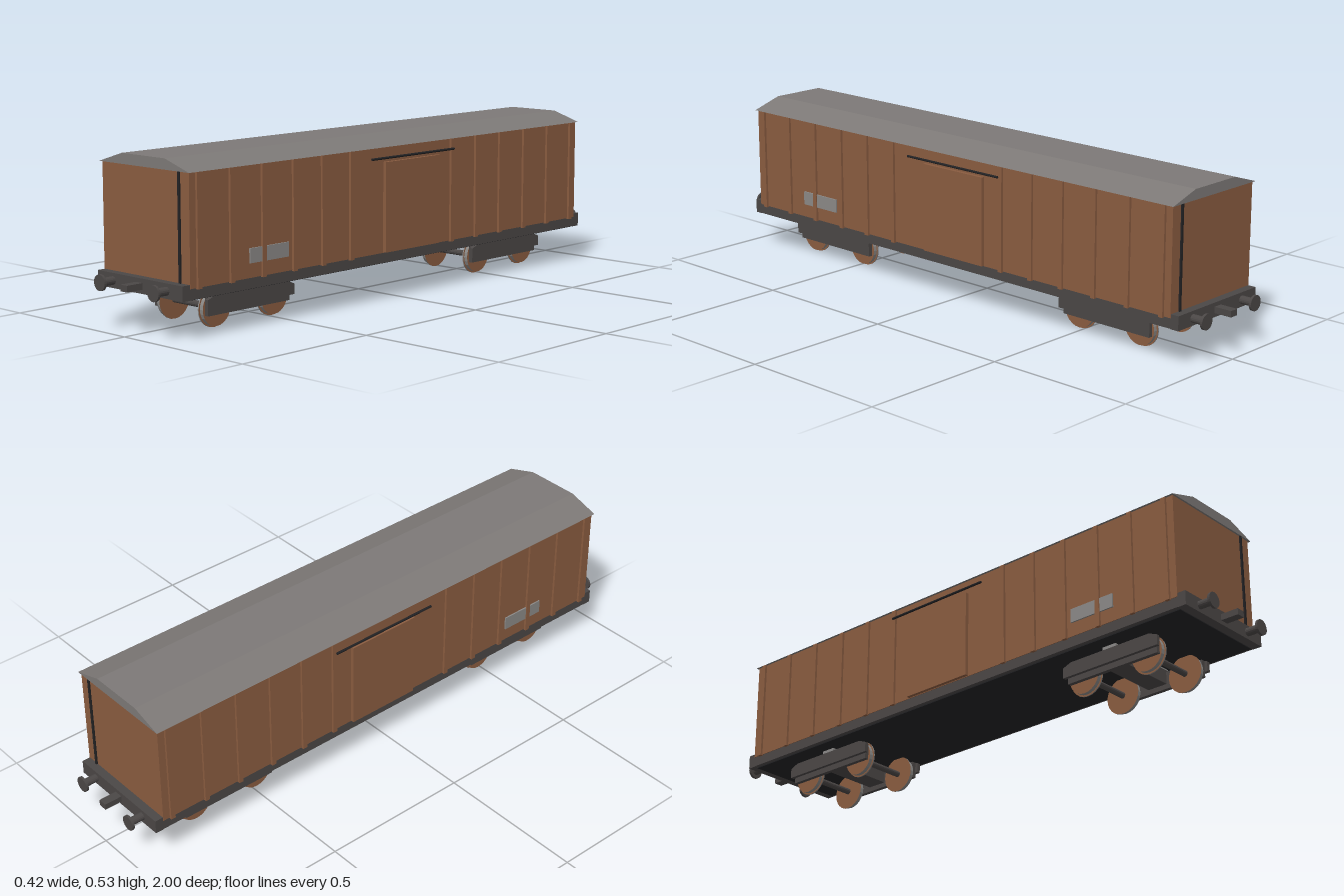
import * as THREE from 'three';

const material = (name, color) => {
  const m = new THREE.MeshStandardMaterial({ color, flatShading: true });
  m.name = name;
  return m;
};

export function createModel() {
  const wagon = new THREE.Group();
  wagon.name = 'boxWagon';
  const brown = material('rustBrown', 0x8a5c40);
  const roofGrey = material('roofGrey', 0x7d7977);
  const iron = material('frameIron', 0x4b4746);
  const black = material('black', 0x222224);
  const steel = material('steel', 0x8b8987);

  const add = (parent, name, geo, mat, x = 0, y = 0, z = 0) => {
    const mesh = new THREE.Mesh(geo, mat);
    mesh.name = name;
    mesh.position.set(x, y, z);
    parent.add(mesh);
    return mesh;
  };
  // Box given by its lower and upper limits on each axis
  const box = (parent, name, mat, x0, x1, y0, y1, z0, z1) =>
    add(parent, name, new THREE.BoxGeometry(Math.abs(x1 - x0), y1 - y0, Math.abs(z1 - z0)), mat,
      (x0 + x1) / 2, (y0 + y1) / 2, (z0 + z1) / 2);
  // Cylinder lying along an axis
  const rod = (parent, name, mat, r, length, axis, x, y, z, sides = 20) => {
    const geo = new THREE.CylinderGeometry(r, r, length, sides);
    if (axis === 'x') geo.rotateZ(Math.PI / 2);
    else geo.rotateX(Math.PI / 2);
    return add(parent, name, geo, mat, x, y, z);
  };

  // Body and faceted roof
  box(wagon, 'body', brown, -0.192, 0.192, 0.155, 0.496, -0.912, 0.912);
  const profile = new THREE.Shape([[-0.2, 0.494], [0.2, 0.494], [0.095, 0.527], [-0.095, 0.527]]
    .map(([x, y]) => new THREE.Vector2(x, y)));
  add(wagon, 'roof', new THREE.ExtrudeGeometry(profile, { depth: 1.836, bevelEnabled: false }),
    roofGrey, 0, 0, -0.918);

  // Underframe
  box(wagon, 'underframe', iron, -0.19, 0.19, 0.122, 0.156, -0.915, 0.915);
  box(wagon, 'floorPlate', black, -0.178, 0.178, 0.118, 0.123, -0.91, 0.91);

  // Side walls: ribs, door, rail and panel
  for (const s of [-1, 1]) {
    for (const z of [0.88, 0.75, 0.62, 0.49, 0.365, 0.24]) {
      for (const e of [-1, 1]) {
        box(wagon, 'sideRib', brown, s * 0.19, s * 0.2, 0.152, 0.494, e * z - 0.008, e * z + 0.008);
      }
    }
    box(wagon, 'slidingDoor', brown, s * 0.19, s * 0.204, 0.157, 0.447, -0.168, 0.09);
    rod(wagon, 'doorRail', black, 0.004, 0.395, 'z', s * 0.206, 0.461, -0.04, 8);
    for (const [z0, z1] of [[0.516, 0.612], [0.628, 0.677]]) {
      box(wagon, 'sidePanel', steel, s * 0.191, s * 0.197, 0.2, 0.245, z0, z1);
    }
  }

  // Ends: headstock, stripe, coupling and buffers
  for (const e of [-1, 1]) {
    box(wagon, 'headstock', iron, -0.19, 0.19, 0.121, 0.167, e * 0.91, e * 0.94);
    box(wagon, 'endPole', black, 0.147, 0.155, 0.165, 0.494, e * 0.911, e * 0.917);
    box(wagon, 'coupling', iron, -0.015, 0.015, 0.134, 0.154, e * 0.935, e);
    for (const s of [-1, 1]) {
      rod(wagon, 'bufferShaft', iron, 0.013, 0.055, 'z', s * 0.12, 0.144, e * 0.961, 16);
      rod(wagon, 'bufferHead', iron, 0.025, 0.008, 'z', s * 0.12, 0.144, e * 0.988, 24);
    }
  }

  // Bogies
  const beam = new THREE.Shape([[-0.18, 0.063], [0.18, 0.063], [0.18, 0.096], [0.15, 0.108],
    [-0.15, 0.108], [-0.18, 0.096]].map(([x, y]) => new THREE.Vector2(x, y)));
  const beamGeo = new THREE.ExtrudeGeometry(beam, { depth: 0.012, bevelEnabled: false })
    .rotateY(Math.PI / 2);
  for (const e of [-1, 1]) {
    const bogie = new THREE.Group();
    bogie.name = 'bogie';
    bogie.position.z = e * 0.608;
    wagon.add(bogie);
    box(bogie, 'bolster', iron, -0.12, 0.12, 0.06, 0.106, -0.035, 0.035);
    for (const s of [-1, 1]) {
      add(bogie, 'sideBeam', beamGeo, iron, s * 0.125 - 0.006, 0, 0);
      box(bogie, 'sideFrame', iron, s * 0.106, s * 0.12, 0.044, 0.1, -0.17, 0.17);
      box(bogie, 'sideBearing', steel, s * 0.088, s * 0.13, 0.104, 0.12, -0.025, 0.025);
    }
    for (const z of [-0.12, 0.12]) {
      rod(bogie, 'axle', iron, 0.01, 0.22, 'x', 0, 0.061, z, 12);
      for (const s of [-1, 1]) {
        // Steel rim with brown wheel faces
        add(bogie, 'wheel', new THREE.CylinderGeometry(0.056, 0.056, 0.014, 24)
          .rotateZ(Math.PI / 2), [steel, brown, brown], s * 0.096, 0.061, z);
        add(bogie, 'wheelFlange', new THREE.CylinderGeometry(0.061, 0.061, 0.004, 24)
          .rotateZ(Math.PI / 2), [steel, brown, brown], s * 0.088, 0.061, z);
      }
    }
  }
  return wagon;
}
